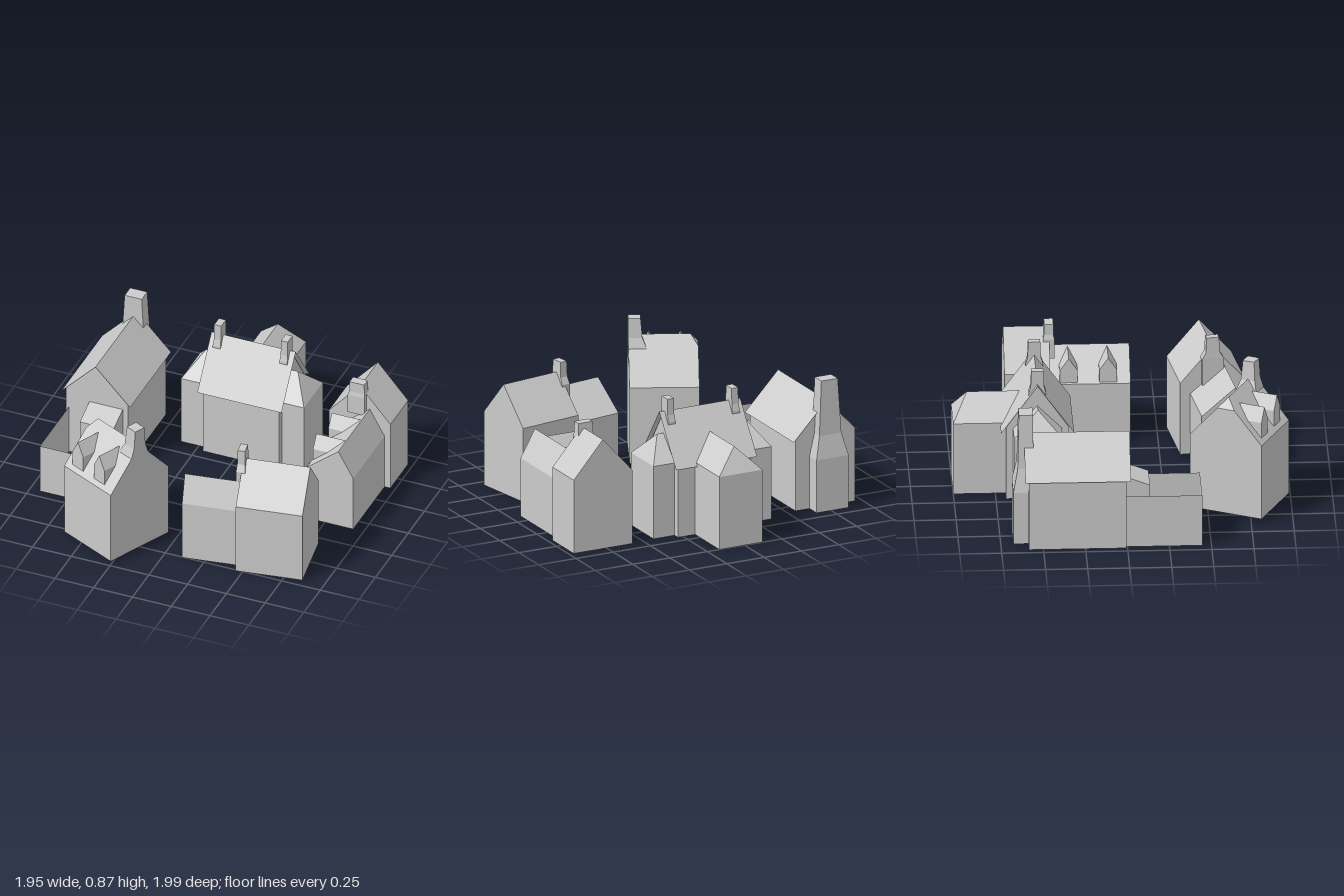
import * as THREE from 'three';

const material = new THREE.MeshStandardMaterial({ color: 0xcccccc, flatShading: true, side: THREE.DoubleSide });

// Flat-faced mesh from convex polygons (corners counter-clockwise from outside)
function faces(name, polygons) {
  const points = [];
  for (const p of polygons)
    for (let i = 1; i < p.length - 1; i++) points.push(...p[0], ...p[i], ...p[i + 1]);
  const geometry = new THREE.BufferGeometry();
  geometry.setAttribute('position', new THREE.Float32BufferAttribute(points, 3));
  geometry.computeVertexNormals();
  const mesh = new THREE.Mesh(geometry, material);
  mesh.name = name;
  return mesh;
}

// House shell along z, open underneath. The profile runs from left foot over the
// ridge (its middle point) to right foot; insets pull the ridge ends in to form hips.
function house(name, profile, z0, z1, inset0 = 0, inset1 = 0) {
  const mid = (profile.length - 1) / 2;
  const back = profile.map(([x, y], i) => [x, y, i === mid ? z0 + inset0 : z0]);
  const front = profile.map(([x, y], i) => [x, y, i === mid ? z1 - inset1 : z1]);
  const polygons = [];
  for (let i = 0; i < profile.length - 1; i++)
    polygons.push([back[i], front[i], front[i + 1], back[i + 1]]);
  polygons.push(back.filter((p, i) => i !== mid), back.slice(mid - 1, mid + 2));
  polygons.push(front.filter((p, i) => i !== mid).reverse(), front.slice(mid - 1, mid + 2).reverse());
  return faces(name, polygons);
}

// Gable profile with feet at x0 and x1
const gable = (x0, x1, eave, ridgeX, ridge, foot = 0) =>
  [[x0, foot], [x0, eave], [ridgeX, ridge], [x1, eave], [x1, foot]];

// Thin overhanging roof: two sheets meeting at the ridge
function roof(name, x, half, eave, ridge, z0, z1) {
  const sheet = s => [[x + s * half, eave, z0], [x + s * half, eave, z1], [x, ridge, z1], [x, ridge, z0]];
  return faces(name, [sheet(-1), sheet(1).reverse()]);
}

// Stacked rectangular sections [x0, x1, z0, z1, y], capped on top
function chimney(name, sections) {
  const rings = sections.map(([x0, x1, z0, z1, y]) => [[x0, y, z0], [x0, y, z1], [x1, y, z1], [x1, y, z0]]);
  const polygons = [rings[rings.length - 1]];
  for (let r = 0; r < rings.length - 1; r++)
    for (let i = 0; i < 4; i++) {
      const j = (i + 1) % 4;
      polygons.push([rings[r][i], rings[r][j], rings[r + 1][j], rings[r + 1][i]]);
    }
  return chimneyMesh(name, polygons);
}
const chimneyMesh = (name, polygons) => faces(name, polygons);

// Pitched dormer facing -x; eaves and ridge run back to where they meet the roof
function dormer(z, half, x, foot, eave, peak, eaveX, peakX) {
  const a = z - half, b = z + half;
  return faces('dormer', [
    [[x, foot, a], [x, foot, b], [x, eave, b], [x, peak, z], [x, eave, a]],
    [[x, foot, b], [eaveX, eave, b], [x, eave, b]],
    [[x, foot, a], [x, eave, a], [eaveX, eave, a]],
    [[x, eave, b], [eaveX, eave, b], [peakX, peak, z], [x, peak, z]],
    [[x, eave, a], [x, peak, z], [peakX, peak, z], [eaveX, eave, a]],
  ]);
}

function group(name, x, z, turn, ...parts) {
  const g = new THREE.Group();
  g.name = name;
  g.position.set(x, 0, z);
  g.rotation.y = turn;
  g.add(...parts);
  return g;
}

export function createModel() {
  const model = new THREE.Group();
  model.name = 'village';

  // House with walled yard, lean-to porch and stepped end chimney
  model.add(group('yardHouse', -0.757, 0, 0,
    house('yardHouseWalls', gable(-0.2, 0.2, 0.46, 0, 0.67), -0.585, -0.005),
    roof('yardHouseRoof', 0, 0.222, 0.44, 0.673, -0.608, 0.02),
    chimney('yardHouseChimney', [
      [-0.11, 0.105, -0.675, -0.58, 0], [-0.11, 0.105, -0.675, -0.58, 0.33],
      [-0.075, 0.072, -0.648, -0.555, 0.47], [-0.055, 0.055, -0.64, -0.555, 0.81]]),
    faces('porch', [
      [[-0.05, 0, 0.14], [0.165, 0, 0.14], [0.165, 0.34, 0.14], [-0.05, 0.34, 0.14]],
      [[-0.05, 0.34, 0.14], [0.165, 0.34, 0.14], [0.165, 0.395, -0.005], [-0.05, 0.395, -0.005]],
      [[-0.05, 0, -0.005], [-0.05, 0, 0.14], [-0.05, 0.34, 0.14], [-0.05, 0.395, -0.005]],
      [[0.165, 0, 0.14], [0.165, 0, -0.005], [0.165, 0.395, -0.005], [0.165, 0.34, 0.14]]]),
    faces('yardWall', [
      [[-0.18, 0, -0.005], [-0.18, 0, 0.445], [-0.18, 0.325, 0.445], [-0.18, 0.325, -0.005]],
      [[-0.18, 0, 0.445], [0.152, 0, 0.445], [0.152, 0.325, 0.445], [-0.18, 0.325, 0.445]],
      [[0.152, 0, 0.445], [0.152, 0, -0.005], [0.152, 0.325, -0.005], [0.152, 0.325, 0.445]]])));

  // Central hall: local z points to world +x, local x to the back
  const hall = group('hall', 0.035, -0.503, Math.PI / 2,
    house('hallWalls', gable(-0.187, 0.187, 0.46, 0, 0.73), -0.24, 0.25),
    roof('hallRoof', 0, 0.217, 0.435, 0.737, -0.265, 0.278),
    house('sideWings', gable(-0.145, 0.145, 0.455, 0, 0.6), -0.4, 0.392, 0.1, 0.1));
  for (const z of [-0.21, 0.22])
    hall.add(chimney('hallChimney', [
      [-0.052, 0.052, z - 0.025, z + 0.025, 0.62], [-0.052, 0.052, z - 0.025, z + 0.025, 0.68],
      [-0.04, 0.04, z - 0.022, z + 0.022, 0.72], [-0.036, 0.036, z - 0.022, z + 0.022, 0.82]]));
  model.add(hall, group('backWing', 0.025, 0, 0,
    house('backWingShell', gable(-0.145, 0.145, 0.455, 0, 0.6), -1, -0.58, 0.087, 0)));

  // Side house with a lower, off-centre front range
  const side = group('sideHouse', 0.775, 0, 0,
    house('sideHouseBack', gable(-0.2, 0.195, 0.46, 0, 0.685), -0.665, -0.392),
    house('sideHouseFront', gable(-0.143, 0.158, 0.365, 0.062, 0.535), -0.392, 0.088),
    chimney('sideHouseChimney', [
      [-0.068, 0.042, -0.43, -0.362, 0.5], [-0.068, 0.042, -0.43, -0.362, 0.625],
      [-0.06, 0.038, -0.425, -0.368, 0.65], [-0.058, 0.036, -0.422, -0.368, 0.717]]));
  for (const z of [-0.28, -0.045]) side.add(dormer(z, 0.053, -0.135, 0.37, 0.45, 0.527, -0.04, 0.052));
  model.add(side);

  // Turned cottage with a half hip, two dormers and a chimney at the gable
  const cottage = group('cottage', -0.338, 0.693, 1.124,
    house('cottageShell', [[-0.23, 0.025], [-0.23, 0.5], [-0.055, 0.698], [0, 0.76], [0.055, 0.698],
      [0.23, 0.5], [0.23, 0.025]], -0.208, 0.208, 0.045, 0),
    chimney('cottageChimney', [
      [-0.065, 0.065, 0.1, 0.209, 0.6], [-0.065, 0.065, 0.1, 0.209, 0.69],
      [-0.045, 0.045, 0.125, 0.209, 0.75], [-0.036, 0.036, 0.135, 0.209, 0.87]]));
  for (const z of [-0.11, 0.08]) cottage.add(dormer(z, 0.047, -0.208, 0.515, 0.625, 0.71, -0.12, -0.045));
  model.add(cottage);

  // Turned pair of houses sharing a chimney
  model.add(group('pairHouse', 0.63, 0.534, 1.727,
    house('tallHouse', gable(-0.196, 0.196, 0.462, 0, 0.685), -0.204, 0.204),
    house('lowHouse', gable(-0.138, 0.135, 0.39, -0.07, 0.56), -0.547, -0.2),
    chimney('pairChimney', [
      [-0.062, 0.068, -0.236, -0.18, 0.45], [-0.062, 0.068, -0.236, -0.18, 0.62],
      [-0.038, 0.046, -0.234, -0.185, 0.66], [-0.034, 0.042, -0.232, -0.188, 0.755]])));

  return model;
}
